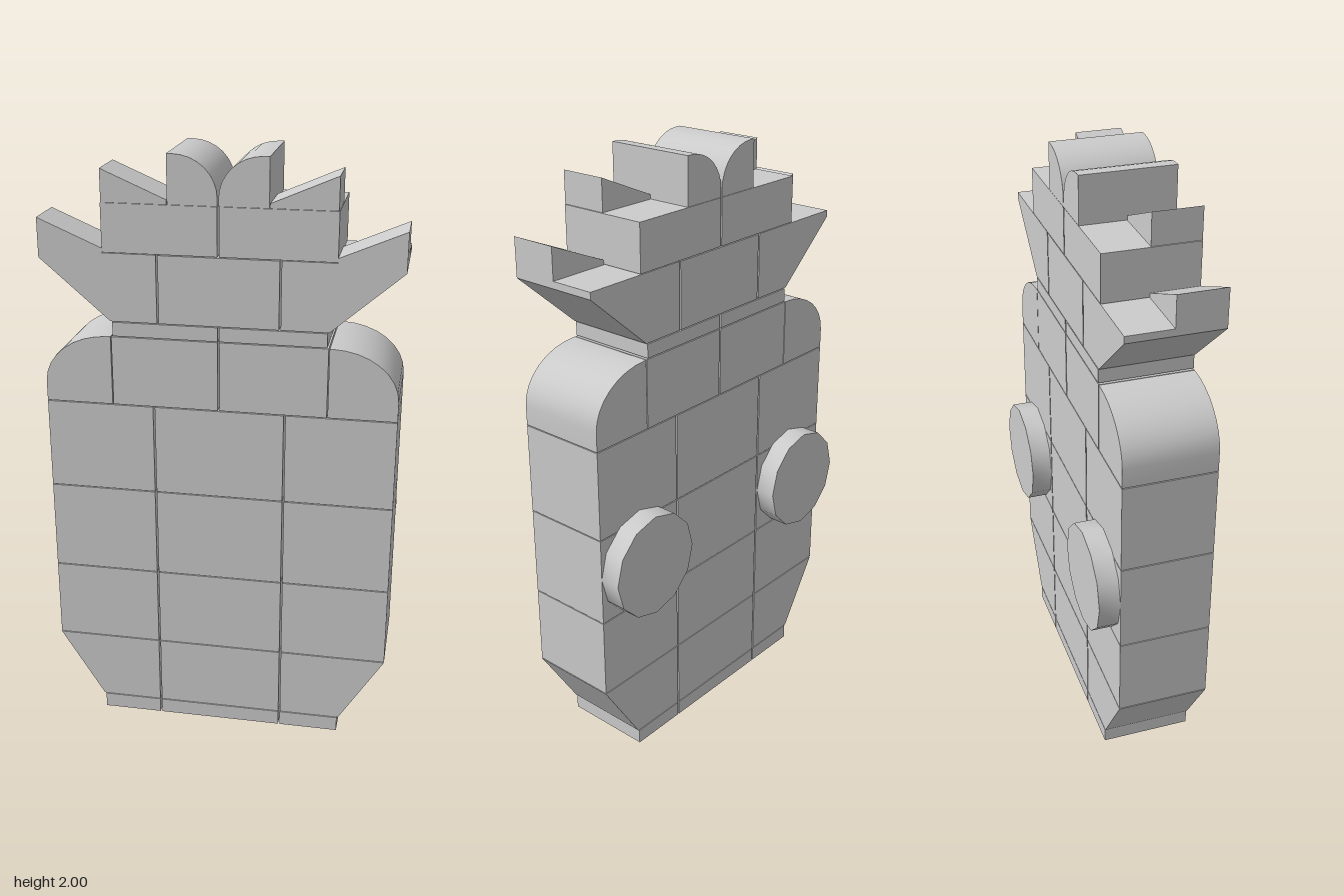
import * as THREE from 'three';
import { toCreasedNormals } from 'three/addons/utils/BufferGeometryUtils.js';

const BACK = -0.12, FRONT = 0.187, MID = 0.03, GAP = 0.003;
const material = new THREE.MeshStandardMaterial({ color: 0xcccccc });

export function createModel() {
  const model = new THREE.Group();
  model.name = 'brickPineapple';

  function add(name, geometry) {
    const mesh = new THREE.Mesh(geometry, material);
    mesh.name = name;
    model.add(mesh);
    return mesh;
  }

  // Brick with a profile in the front plane, extruded through the depth
  function profileBrick(name, points, side = 1, z0 = BACK, z1 = FRONT) {
    const shape = new THREE.Shape(points.map(([x, y]) => new THREE.Vector2(x * side, y)));
    const geometry = new THREE.ExtrudeGeometry(shape, { depth: z1 - z0, bevelEnabled: false });
    geometry.translate(0, 0, z0);
    add(name, toCreasedNormals(geometry, 0.6));
  }

  // Row of rectangular bricks between the given seams
  function brickRow(name, seams, y0, y1) {
    for (let i = 0; i < seams.length - 1; i++) {
      const x0 = seams[i] + (i > 0 ? GAP : 0);
      const x1 = seams[i + 1] - (i < seams.length - 2 ? GAP : 0);
      const h = y1 - y0 - GAP;
      const box = new THREE.BoxGeometry(x1 - x0, h, FRONT - BACK);
      box.translate((x0 + x1) / 2, y0 + h / 2, (FRONT + BACK) / 2);
      add(name, box);
    }
  }

  // Quarter of an ellipse from angle a to angle b
  function arc(cx, cy, rx, ry, a, b, steps = 8) {
    return Array.from({ length: steps + 1 }, (_, i) => {
      const t = a + (b - a) * i / steps;
      return [cx + rx * Math.cos(t), cy + ry * Math.sin(t)];
    });
  }

  // Fruit body
  brickRow('basePlate', [-0.42, -0.215, 0.215, 0.42], 0, 0.055);
  brickRow('bottomCentreBrick', [-0.215 + GAP, 0.215 - GAP], 0.055, 0.3);
  const rows = [0.3, 0.575, 0.88, 1.185];
  for (let i = 0; i < 3; i++) brickRow('bodyBrick', [-0.575, -0.215, 0.215, 0.575], rows[i], rows[i + 1]);
  brickRow('shoulderCentreBrick', [-0.35, 0, 0.35], 1.185, 1.418);

  // Leafy crown
  brickRow('neckPlate', [-0.345, 0, 0.345], 1.418, 1.467);
  brickRow('crownCentreBrick', [-0.192, 0.192], 1.467, 1.69);
  brickRow('upperCrownBrick', [-0.37, 0, 0.37], 1.69, 1.848);

  for (const side of [-1, 1]) {
    // Sloped lower corners and rounded shoulders
    profileBrick('bottomSlope', [[0.218, 0.055], [0.425, 0.055], [0.575, 0.297], [0.218, 0.297]], side);
    profileBrick('roundedShoulder',
      [[0.353, 1.185], [0.575, 1.185], ...arc(0.36, 1.25, 0.215, 0.165, 0, Math.PI / 2), [0.353, 1.415]], side);

    // Flared crown brick
    profileBrick('flaredCrownBrick',
      [[0.198, 1.467], [0.35, 1.467], [0.578, 1.665], [0.578, 1.688], [0.198, 1.688]], side);

    // Wedge leaves on the front half
    for (const [x, y] of [[0.37, 1.688], [0.16, 1.846]]) {
      profileBrick('wedgeLeaf', [[x, y], [x + 0.208, y], [x + 0.208, y + 0.104], [x, y + 0.015]], side, MID, FRONT);
    }

    // Curved leaves at the top
    profileBrick('curvedTopLeaf',
      [[0.002, 1.846], [0.158, 1.846], [0.158, 2], ...arc(0.14, 1.87, 0.138, 0.13, Math.PI / 2, Math.PI)], side);

    // Round discs on the back
    const disc = add('backDisc', toCreasedNormals(new THREE.CylinderGeometry(0.178, 0.178, 0.07, 12), 0.7));
    disc.rotation.x = Math.PI / 2;
    disc.position.set(0.397 * side, 0.738, BACK - 0.035);
  }

  return model;
}
